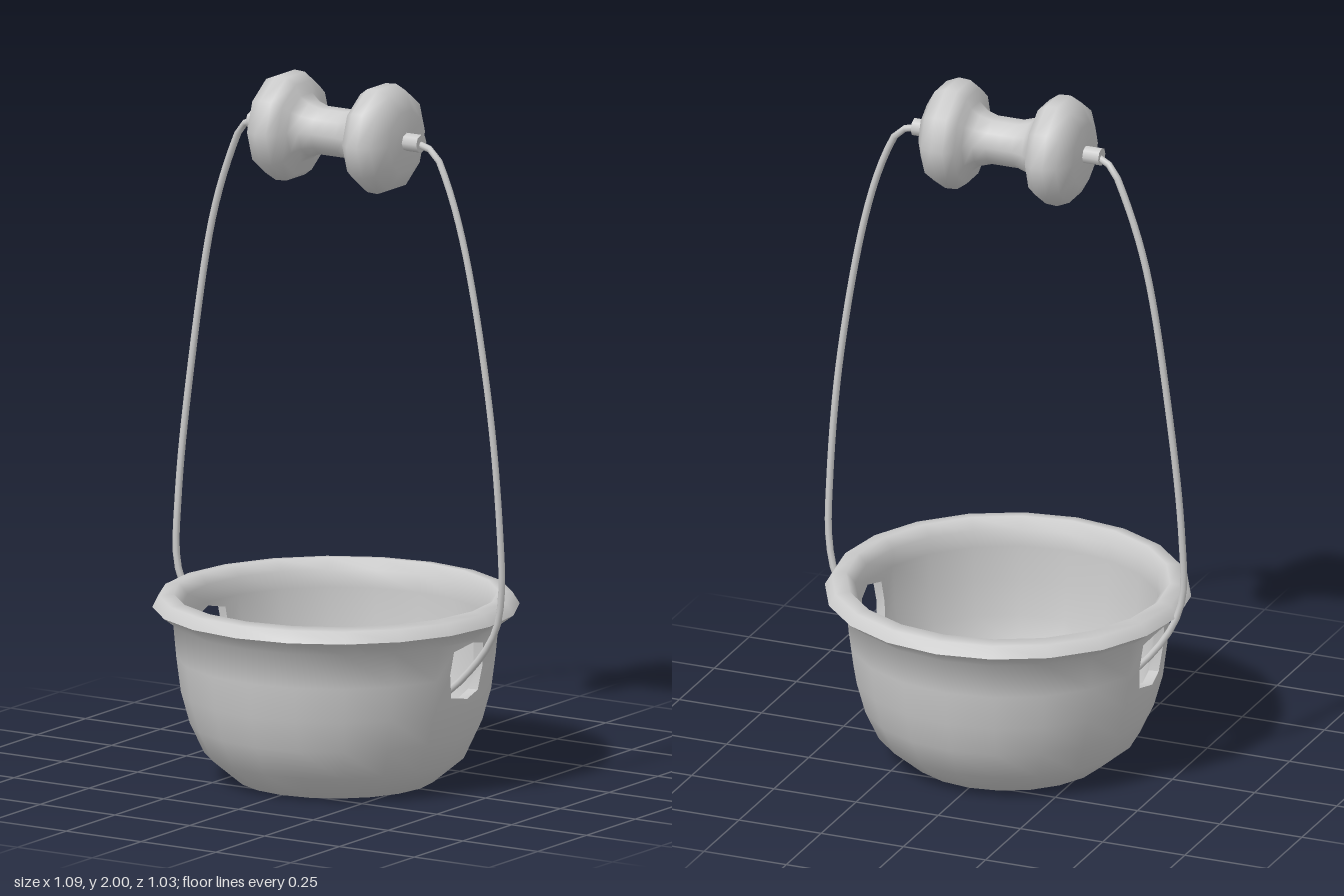
import * as THREE from 'three';
import { toCreasedNormals } from 'three/addons/utils/BufferGeometryUtils.js';

const material = new THREE.MeshStandardMaterial({ color: 0xcccccc });
const SIDES = 20;
const STEP = (Math.PI * 2) / SIDES;

// Bowl section [radius, height]: up the outside, over the rim, down the inside
const SECTION = [
  [0, 0], [0.28, 0], [0.37, 0.075], [0.41, 0.16], [0.435, 0.25], [0.448, 0.35], [0.457, 0.45],
  [0.515, 0.493], [0.495, 0.525], [0.455, 0.53], [0.43, 0.5],
  [0.428, 0.45], [0.42, 0.35], [0.405, 0.25], [0.38, 0.16], [0.33, 0.08], [0.24, 0.03], [0, 0.03],
];
const OUTER = SECTION.slice(4, 7);
const INNER = SECTION.slice(11, 14).reverse();

// Hole outline and the surrounding panel outline, as [sideways, height]
const HOLE = [[-0.5, 0.29], [0, 0.277], [0.5, 0.29], [0.6, 0.36], [0.53, 0.425], [0, 0.44], [-0.53, 0.425], [-0.6, 0.36]];
const PANEL = [[-1, 0.25], [0, 0.25], [1, 0.25], [1, 0.35], [1, 0.45], [0, 0.45], [-1, 0.45], [-1, 0.35]];

function radiusAt(rows, y) {
  const k = y < rows[1][1] ? 0 : 1;
  return THREE.MathUtils.mapLinear(y, rows[k][1], rows[k + 1][1], rows[k][0], rows[k + 1][0]);
}

function createBowl() {
  const positions = [];
  const round = (v) => Math.round(v * 1e4) / 1e4;
  const triangle = (...corners) => corners.forEach((c) => positions.push(...c.map(round)));
  const quad = (a, b, c, d) => { triangle(a, b, c); triangle(a, c, d); };
  const point = (i, j) => {
    const [r, y] = SECTION[i];
    const a = (j % SIDES) * STEP;
    return [r * Math.cos(a), y, r * Math.sin(a)];
  };

  // Turned body, leaving out the panels that carry the holes
  for (let i = 0; i < SECTION.length - 1; i++) {
    for (let j = 0; j < SIDES; j++) {
      const holeRow = [4, 5, 11, 12].includes(i);
      const holeColumn = [0, 9, 10, 19].includes(j);
      if (holeRow && holeColumn) continue;
      const [a, b, c, d] = [point(i, j), point(i + 1, j), point(i + 1, j + 1), point(i, j + 1)];
      if (i === 0) triangle(a, b, c);
      else if (i === SECTION.length - 2) triangle(a, b, d);
      else quad(a, b, c, d);
    }
  }
  // The first fan needs its own closing triangles only at the rim of the base,
  // so each pole is a single triangle per side.

  // Panels with a rope hole through the wall, one on each side
  for (const side of [1, -1]) {
    const place = (outline, rows) => outline.map(([t, y]) => {
      const r = radiusAt(rows, y);
      return [side * r * (1 - Math.abs(t) * (1 - Math.cos(STEP))), y, side * r * t * Math.sin(STEP)];
    });
    const loops = [place(PANEL, OUTER), place(HOLE, OUTER), place(HOLE, INNER), place(PANEL, INNER)];
    for (let l = 0; l < 3; l++) {
      for (let k = 0; k < 8; k++) {
        const n = (k + 1) % 8;
        quad(loops[l][k], loops[l + 1][k], loops[l + 1][n], loops[l][n]);
      }
    }
  }

  const geometry = new THREE.BufferGeometry();
  geometry.setAttribute('position', new THREE.Float32BufferAttribute(positions, 3));
  return toCreasedNormals(geometry, 1.1);
}

export function createModel() {
  const model = new THREE.Group();
  const add = (name, geometry) => {
    const mesh = new THREE.Mesh(geometry, material);
    mesh.name = name;
    model.add(mesh);
    return mesh;
  };

  add('bowl', createBowl());

  // Spool-shaped grip lying along x
  const half = [[0.069, 0], [0.069, 0.04], [0.08, 0.075], [0.1, 0.1], [0.135, 0.108], [0.155, 0.135],
    [0.157, 0.17], [0.142, 0.205], [0.09, 0.235], [0, 0.237]];
  const profile = [...half.map(([r, x]) => [r, -x]).reverse(), ...half.slice(1)];
  const grip = add('grip', new THREE.LatheGeometry(profile.map(([r, x]) => new THREE.Vector2(r, x)), 10));
  grip.rotation.z = Math.PI / 2;
  grip.position.y = 1.85;

  // Pin through the grip that holds the rope ends
  const pin = add('gripPin', new THREE.CylinderGeometry(0.026, 0.026, 0.57, 8));
  pin.rotation.z = Math.PI / 2;
  pin.position.y = 1.85;

  // One rope: down the right side, through both holes, up the left side
  const path = [
    [-0.27, 1.85, 0], [-0.32, 1.83, -0.015], [-0.37, 1.74, -0.027], [-0.435, 1.54, -0.032],
    [-0.5, 1.1, -0.02], [-0.53, 0.75, -0.005], [-0.53, 0.55, 0], [-0.5, 0.46, -0.01],
    [-0.43, 0.36, -0.03], [-0.3, 0.25, -0.037], [0, 0.17, -0.04], [0.3, 0.25, -0.043],
    [0.43, 0.36, -0.045], [0.505, 0.47, -0.042], [0.53, 0.58, -0.035], [0.532, 0.75, -0.025],
    [0.51, 1.1, -0.008], [0.44, 1.54, 0.006], [0.38, 1.74, 0.008], [0.33, 1.83, 0.004], [0.27, 1.85, 0],
  ].map((p) => new THREE.Vector3(...p));
  add('rope', new THREE.TubeGeometry(new THREE.CatmullRomCurve3(path), 90, 0.01, 8));

  return model;
}
